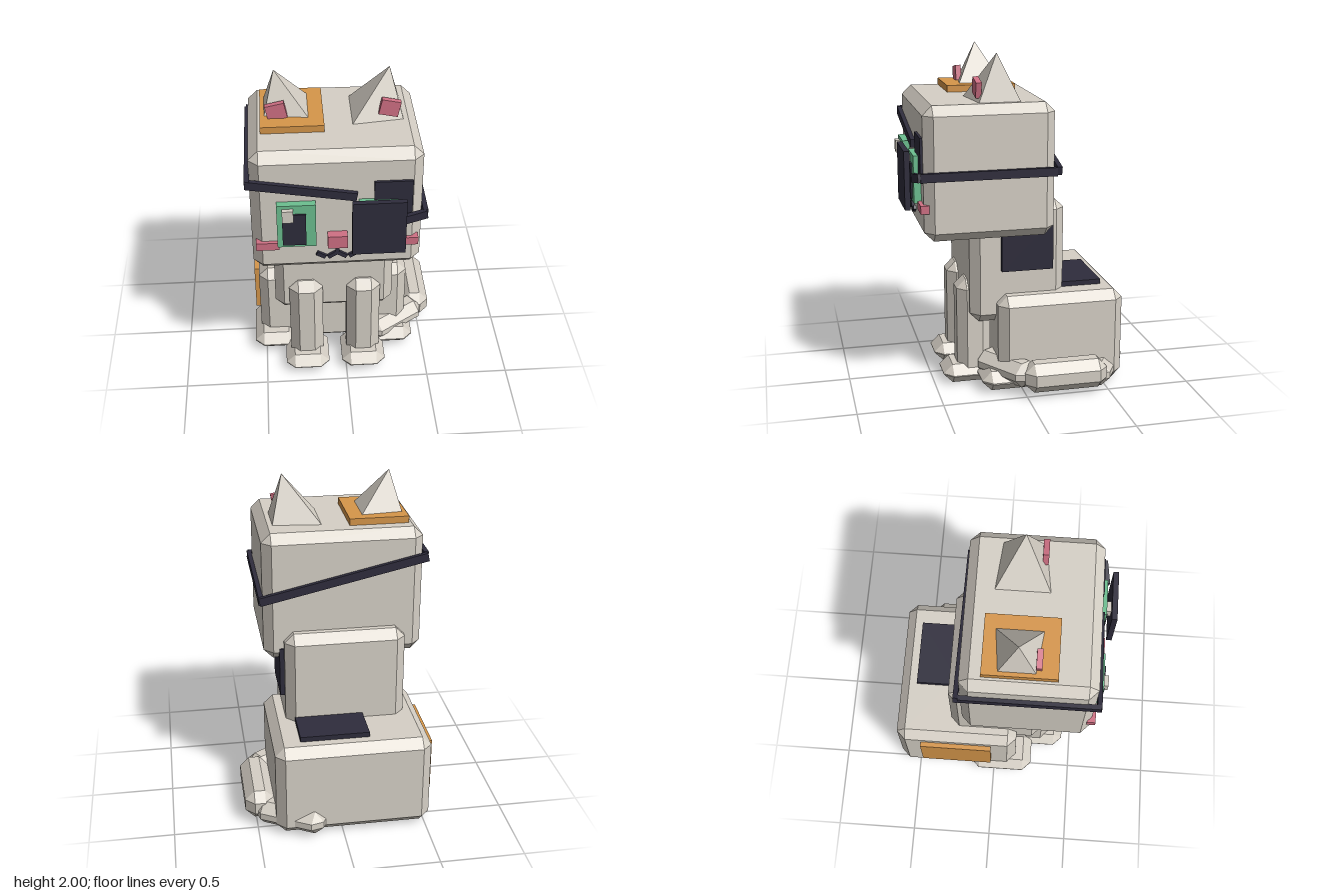
import * as THREE from 'three';
import { ConvexGeometry } from 'three/addons/geometries/ConvexGeometry.js';

const CX = -0.067; // the head's own centre line

export function createModel() {
  const model = new THREE.Group();
  model.name = 'sittingCat';
  const colour = (name, hex) => {
    const m = new THREE.MeshStandardMaterial({ color: hex, flatShading: true });
    m.name = name;
    return m;
  };
  const cream = colour('creamFur', 0xd6d0c6);
  const orange = colour('orangeFur', 0xd6964a);
  const dark = colour('darkNavy', 0x2e2c3c);
  const green = colour('greenEye', 0x6cbf90);
  const pink = colour('pinkSkin', 0xd07084);

  const add = (name, geometry, material) => {
    const mesh = new THREE.Mesh(geometry, material);
    mesh.name = name;
    model.add(mesh);
    return mesh;
  };

  // Box with every edge cut off at 45 degrees
  const chamferGeometry = (w, h, d, c = 0.055) => {
    const points = [];
    for (const sx of [-1, 1]) for (const sy of [-1, 1]) for (const sz of [-1, 1]) {
      const x = w / 2, y = h / 2, z = d / 2;
      points.push(
        new THREE.Vector3(sx * x, sy * (y - c), sz * (z - c)),
        new THREE.Vector3(sx * (x - c), sy * y, sz * (z - c)),
        new THREE.Vector3(sx * (x - c), sy * (y - c), sz * z));
    }
    return new ConvexGeometry(points);
  };
  // Both helpers take [min, max] along each axis
  const chamfer = (name, [x0, x1], [y0, y1], [z0, z1]) => {
    const mesh = add(name, chamferGeometry(x1 - x0, y1 - y0, z1 - z0), cream);
    mesh.position.set((x0 + x1) / 2, (y0 + y1) / 2, (z0 + z1) / 2);
    return mesh;
  };
  const box = (name, material, [x0, x1], [y0, y1], [z0, z1]) => {
    const mesh = add(name, new THREE.BoxGeometry(x1 - x0, y1 - y0, z1 - z0), material);
    mesh.position.set((x0 + x1) / 2, (y0 + y1) / 2, (z0 + z1) / 2);
    return mesh;
  };
  // Square bar running between two points
  const bar = (name, a, b, height, depth) => {
    const from = new THREE.Vector3(...a), to = new THREE.Vector3(...b);
    const mesh = add(name, new THREE.BoxGeometry(depth, height, from.distanceTo(to)), dark);
    mesh.position.copy(from).add(to).multiplyScalar(0.5);
    mesh.lookAt(to);
    return mesh;
  };

  // Main masses
  chamfer('head', [-0.54, 0.405], [0.95, 1.73], [-0.19, 0.57]);
  chamfer('torso', [-0.43, 0.29], [0.4, 1.135], [-0.28, 0.29]);
  chamfer('haunches', [-0.53, 0.395], [0.005, 0.58], [-0.625, 0.14]);

  // Legs and paws
  for (const s of [-1, 1]) {
    const side = s > 0 ? 'left' : 'right';
    const fx = CX + s * 0.175, bx = CX + s * 0.368;
    chamfer(side + 'FrontLeg', [fx - 0.102, fx + 0.102], [0.03, 0.645], [0.15, 0.355]);
    chamfer(side + 'FrontPaw', [fx - 0.135, fx + 0.135], [0, 0.115], [0.13, 0.445]);
    chamfer(side + 'BackPaw', [bx - 0.135, bx + 0.135], [0.012, 0.13], [-0.155, 0.245]);
  }

  // Tail curled round the left side
  const tail = [
    ['tailBase', 0.3, 0.085, -0.52, 0.44, 1.053, 0.15],
    ['tailMiddle', 0.48, 0.12, -0.235, 0.5, 0, 0.18],
    ['tailTip', 0.32, 0.125, 0.085, 0.42, -0.977, 0.15],
  ];
  for (const [name, x, y, z, length, turn, height] of tail) {
    const mesh = add(name, chamferGeometry(0.175, height, length), cream);
    mesh.position.set(x, y, z);
    mesh.rotation.y = turn;
  }

  // Ears: leaning pyramids with a pink pad in front
  for (const s of [-1, 1]) {
    const side = s > 0 ? 'left' : 'right';
    const p = (x, y, z) => new THREE.Vector3(CX + s * x, y, z);
    add(side + 'Ear', new ConvexGeometry([
      p(0.104, 1.728, -0.03), p(0.39, 1.728, 0), p(0.39, 1.728, 0.242),
      p(0.104, 1.728, 0.28), p(0.318, 2, 0.125)]), cream);
    const x = CX + s * 0.312;
    const pad = box(side + 'InnerEar', pink, [x - 0.054, x + 0.054], [1.762, 1.854], [0.222, 0.255]);
    pad.rotation.z = -s * 0.21;
  }

  // Fur patches
  box('earPatch', orange, [-0.47, -0.12], [1.725, 1.77], [-0.07, 0.345]);
  box('hipPatch', orange, [-0.56, -0.525], [0.18, 0.49], [-0.47, -0.02]);
  box('torsoPatch', dark, [0.28, 0.317], [0.725, 1.03], [-0.2, 0.11]);
  box('backPatch', dark, [-0.17, 0.24], [0.57, 0.61], [-0.52, -0.24]);
  box('facePatch', dark, [0.135, 0.345], [1.29, 1.55], [0.56, 0.585]);

  // Eyes and cheeks
  for (const s of [-1, 1]) {
    const side = s > 0 ? 'left' : 'right';
    const x = CX + s * 0.225;
    box(side + 'Iris', green, [x - 0.107, x + 0.107], [1.157, 1.435], [0.56, 0.612]);
    const px = x - 0.013;
    box(side + 'Pupil', dark, [px - 0.065, px + 0.065], [1.175, 1.38], [0.6, 0.622]);
    box(side + 'EyeShine', cream, [px - 0.065, px - 0.003], [1.34, 1.415], [0.6, 0.638]);
    const cx = CX + s * 0.388;
    box(side + 'Cheek', pink, [cx - 0.064, cx + 0.064], [1.122, 1.17], [0.542, 0.592]);
  }

  // Nose and mouth
  box('nose', pink, [CX - 0.055, CX + 0.055], [1.142, 1.222], [0.56, 0.624]);
  box('mouthStem', dark, [CX - 0.011, CX + 0.011], [1.075, 1.145], [0.56, 0.585]);
  for (const s of [-1, 1]) {
    const side = s > 0 ? 'left' : 'right';
    bar(side + 'MouthInner', [CX, 1.082, 0.574], [CX + s * 0.052, 1.05, 0.574], 0.024, 0.024);
    bar(side + 'MouthOuter', [CX + s * 0.066, 1.052, 0.574], [CX + s * 0.115, 1.08, 0.574], 0.024, 0.024);
  }

  // Eye patch and its strap round the head
  box('eyePatch', dark, [0.01, 0.305], [1.13, 1.47], [0.638, 0.67]);
  bar('frontStrap', [-0.56, 1.565, 0.582], [0.04, 1.462, 0.582], 0.05, 0.026);
  bar('strapLink', [0.29, 1.315, 0.617], [0.425, 1.34, 0.597], 0.05, 0.028);
  bar('leftStrap', [0.417, 1.338, 0.595], [0.417, 1.338, -0.19], 0.05, 0.028);
  bar('rightStrap', [-0.55, 1.565, 0.59], [-0.55, 1.565, -0.19], 0.05, 0.028);
  bar('backStrap', [-0.56, 1.565, -0.203], [0.428, 1.342, -0.203], 0.05, 0.028);

  return model;
}
